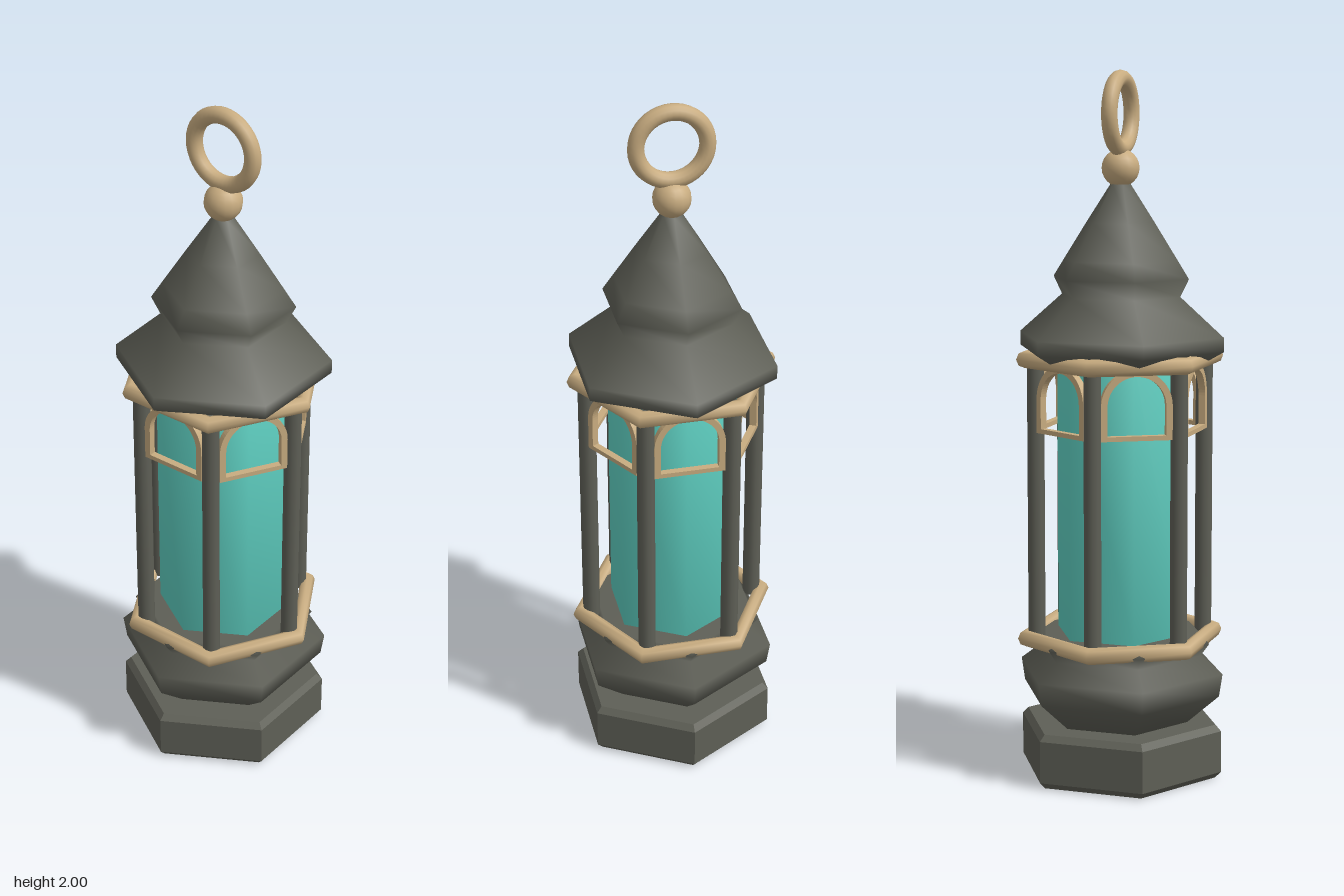
import * as THREE from 'three';

const stone = new THREE.MeshStandardMaterial({ color: 0x5e5f56 });
stone.name = 'dark metal';
const gold = new THREE.MeshStandardMaterial({ color: 0xc8ac80 });
gold.name = 'pale gold';
const teal = new THREE.MeshStandardMaterial({ color: 0x5fd0c2 });
teal.name = 'teal glass';

// Six-sided turned form, corners on the z axis, profile listed upwards as [radius, height]
function hexLathe(profile) {
  return new THREE.LatheGeometry(profile.map(([r, y]) => new THREE.Vector2(r, y)), 6);
}

// Round-topped outline, used for the window frame and its opening
function trace(path, halfWidth, bottom, spring) {
  path.moveTo(-halfWidth, bottom);
  path.lineTo(halfWidth, bottom);
  path.lineTo(halfWidth, spring);
  path.absarc(0, spring, halfWidth, 0, Math.PI, false);
  path.lineTo(-halfWidth, bottom);
  return path;
}

export function createModel() {
  const model = new THREE.Group();
  model.name = 'lantern';
  const add = (name, geometry, material, x = 0, y = 0, z = 0) => {
    const mesh = new THREE.Mesh(geometry, material);
    mesh.name = name;
    mesh.position.set(x, y, z);
    model.add(mesh);
    return mesh;
  };

  // Bevelled foot with hard edges
  const foot = hexLathe([[0, 0], [0.285, 0], [0.302, 0.018], [0.302, 0.138], [0.285, 0.156], [0, 0.156]]).toNonIndexed();
  foot.computeVertexNormals();
  add('foot', foot, stone);

  // Bowl between foot and lower rim
  add('bowl', hexLathe([
    [0, 0.15], [0.2, 0.155], [0.295, 0.24], [0.305, 0.305],
    [0.24, 0.355], [0.265, 0.39], [0.25, 0.41], [0, 0.41],
  ]), stone);

  // Glass core
  add('glass', hexLathe([[0, 0.4], [0.19, 0.4], [0.19, 1.2], [0, 1.2]]), teal);

  // Two-tier roof
  add('roof', hexLathe([
    [0, 1.195], [0.25, 1.195], [0.302, 1.225], [0.302, 1.265], [0.175, 1.375],
    [0.2, 1.425], [0.168, 1.475], [0.1, 1.58], [0.03, 1.685], [0, 1.695],
  ]), stone);

  // Rims, corners on the x axis
  const rim = new THREE.TorusGeometry(0.274, 0.024, 8, 6);
  rim.rotateX(Math.PI / 2);
  add('lowerRim', rim, gold, 0, 0.4, 0);
  add('upperRim', rim, gold, 0, 1.2, 0);

  // Posts under the rim corners, arched frames between them
  const postShape = new THREE.CylinderGeometry(0.025, 0.025, 0.8, 10);
  const arch = trace(new THREE.Shape(), 0.1, 0.995, 1.09);
  arch.holes.push(trace(new THREE.Path(), 0.082, 1.008, 1.09));
  const frameShape = new THREE.ExtrudeGeometry(arch, { depth: 0.02, bevelEnabled: false, curveSegments: 16 });
  frameShape.translate(0, 0, 0.205);
  for (let i = 0; i < 6; i++) {
    const a = (i * Math.PI) / 3;
    add('post' + (i + 1), postShape, stone, 0.243 * Math.cos(a), 0.8, 0.243 * Math.sin(a));
    add('archFrame' + (i + 1), frameShape, gold).rotation.y = a;
  }

  // Finial and hanging ring
  add('finialBall', new THREE.SphereGeometry(0.053, 16, 12), gold, 0, 1.73, 0);
  add('hangingRing', new THREE.TorusGeometry(0.097, 0.023, 12, 40), gold, 0, 1.88, 0);

  return model;
}
